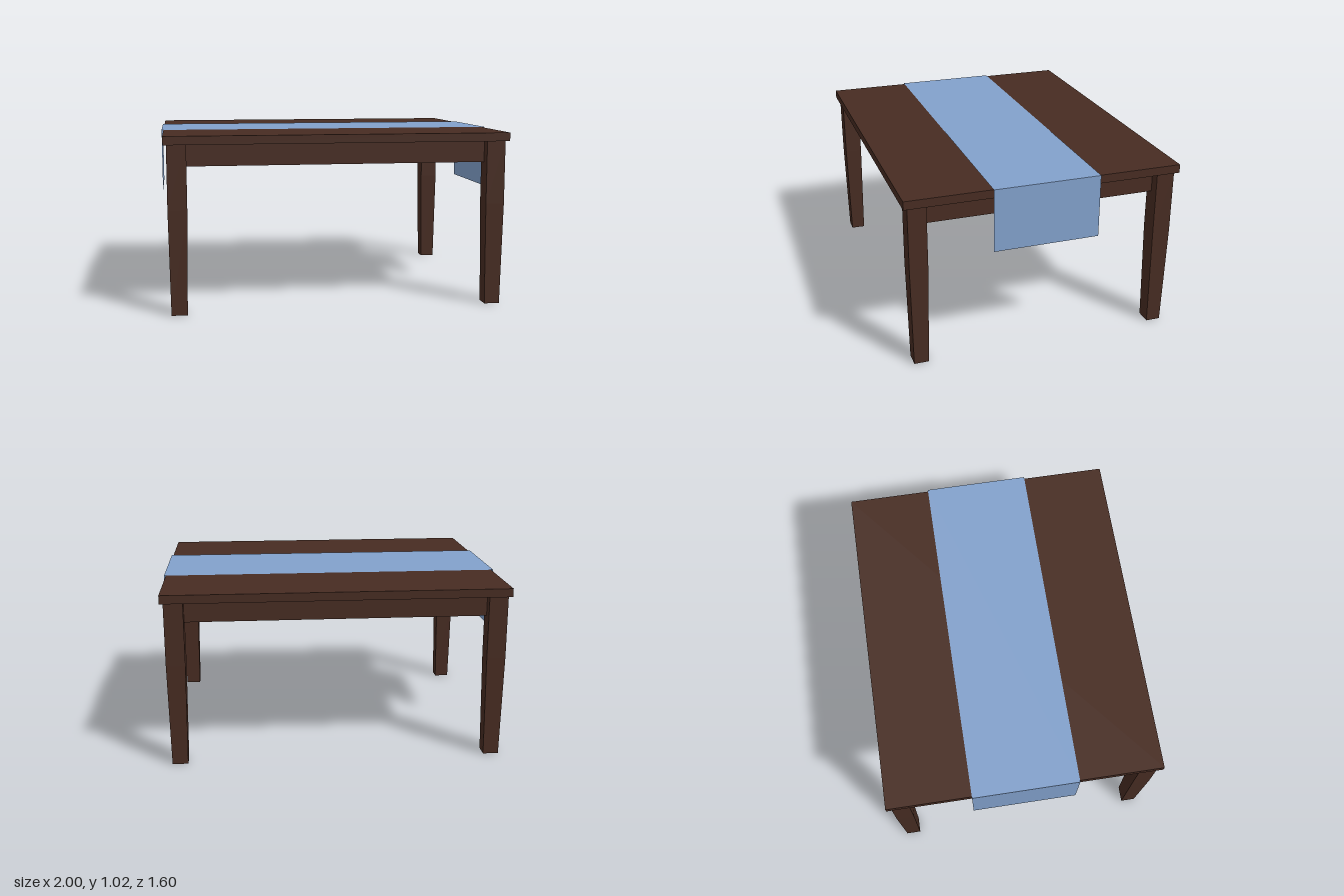
import * as THREE from 'three';

const wood = new THREE.MeshStandardMaterial({ color: 0x472c22 });
wood.name = 'dark wood';
const cloth = new THREE.MeshStandardMaterial({ color: 0x82a1cc, side: THREE.DoubleSide });
cloth.name = 'blue cloth';

// Box spanning y0..y1, centred on x and z
function slab(name, w, d, y0, y1) {
  const mesh = new THREE.Mesh(new THREE.BoxGeometry(w, y1 - y0, d), wood);
  mesh.position.y = (y0 + y1) / 2;
  mesh.name = name;
  return mesh;
}

// Square leg: straight upper part, tapering towards the foot
function legGeometry(height, straightFrom) {
  const geo = new THREE.BoxGeometry(0.109, height, 0.105, 1, 2, 1).translate(0, height / 2, 0);
  const pos = geo.attributes.position;
  for (let i = 0; i < pos.count; i++) {
    const y = pos.getY(i);
    if (y < 0.01) {
      pos.setX(i, pos.getX(i) * 0.83);
      pos.setZ(i, pos.getZ(i) * 0.81);
    } else if (y < height - 0.01) {
      pos.setY(i, straightFrom);
    }
  }
  const flat = geo.toNonIndexed();
  flat.computeVertexNormals();
  return flat;
}

export function createModel() {
  const table = new THREE.Group();
  table.name = 'table';

  table.add(slab('tableTop', 1.98, 1.6, 0.966, 1.015));
  table.add(slab('apron', 1.83, 1.445, 0.84, 0.966));

  // Four legs
  const legGeo = legGeometry(0.966, 0.6);
  for (const [side, sx] of [['Left', 1], ['Right', -1]]) {
    for (const [end, sz] of [['front', 1], ['back', -1]]) {
      const leg = new THREE.Mesh(legGeo, wood);
      leg.name = `${end}${side}Leg`;
      leg.position.set(sx * 0.917, 0, sz * 0.724);
      table.add(leg);
    }
  }

  // Table runner: a sheet across the top with a hanging flap at each end
  const runner = new THREE.Group();
  runner.name = 'tableRunner';
  const sheet = new THREE.Mesh(new THREE.PlaneGeometry(2, 0.62), cloth);
  sheet.name = 'runnerTop';
  sheet.rotation.x = -Math.PI / 2;
  sheet.position.y = 1.018;
  runner.add(sheet);
  for (const [side, sx] of [['left', 1], ['right', -1]]) {
    const flap = new THREE.Mesh(new THREE.PlaneGeometry(0.62, 0.368), cloth);
    flap.name = `${side}RunnerFlap`;
    flap.rotation.y = sx * Math.PI / 2;
    flap.position.set(sx, 0.834, 0);
    runner.add(flap);
  }
  table.add(runner);

  return table;
}
